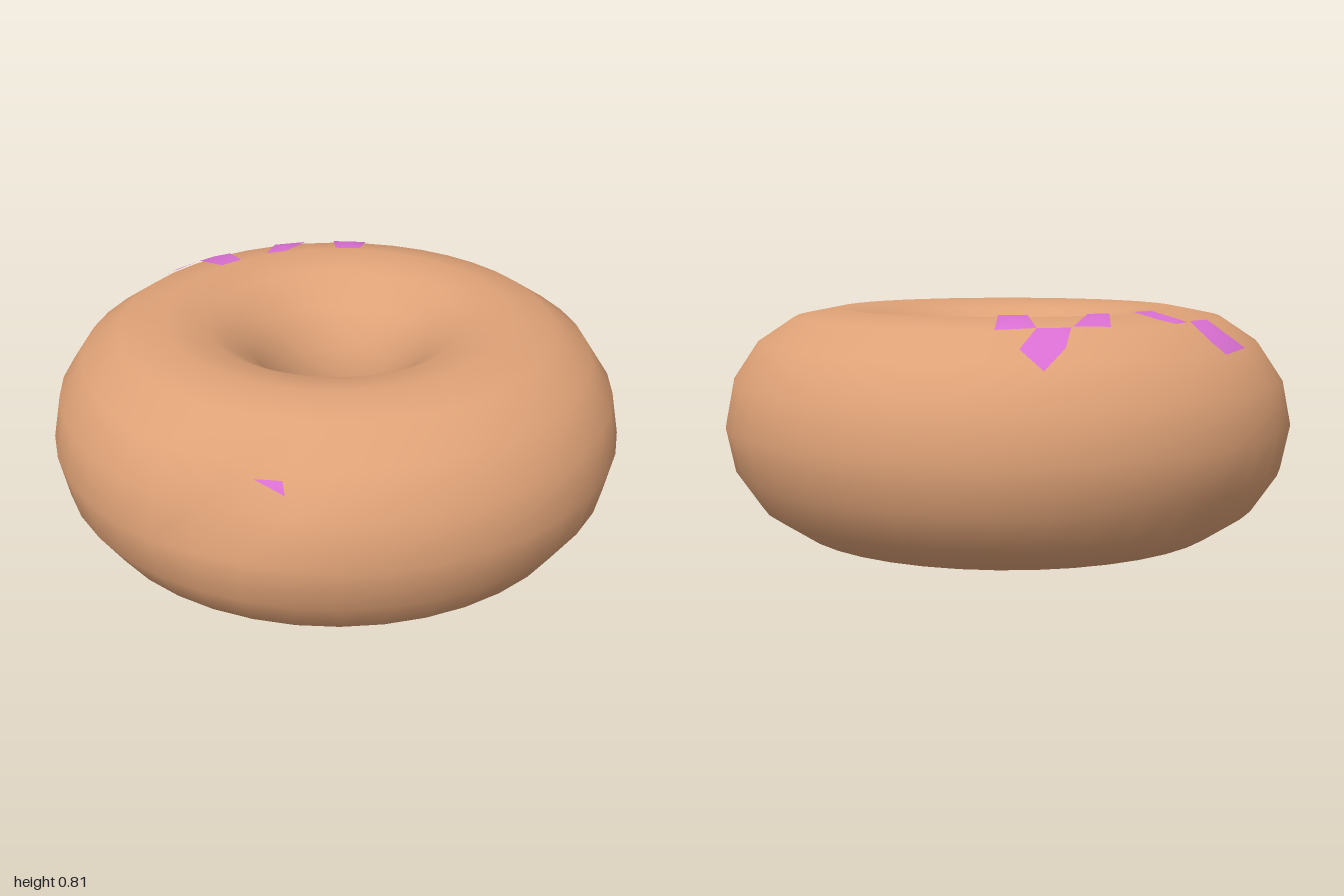
import * as THREE from 'three';
import { mergeVertices } from 'three/addons/utils/BufferGeometryUtils.js';

const RING = 0.6, TUBE = 0.4;
const BITE = new THREE.Vector3(0.39, 0.55, 0.87); // centre of the shallow dent

// Outward normal of the ring at a point
function ringNormal(p) {
  const r = Math.hypot(p.x, p.z);
  return new THREE.Vector3(p.x, 0, p.z).multiplyScalar((r - RING) / r).setY(p.y - TUBE).normalize();
}

// Push a surface point inward near the dent
function dent(p) {
  const depth = 0.07 * Math.exp(-p.distanceToSquared(BITE) / 0.022);
  return p.addScaledVector(ringNormal(p), -depth);
}

// Point on the upper surface above (x, z), lifted slightly
function onTop([x, z], lift) {
  const d = Math.hypot(x, z) - RING;
  const p = new THREE.Vector3(x, TUBE + Math.sqrt(TUBE * TUBE - d * d), z);
  const n = ringNormal(p);
  return { p: dent(p).addScaledVector(n, lift), n };
}

// Small polygon following the ring, fanned round its middle; outline counterclockwise from above
function patchGeometry(outline, lift) {
  const mid = [0, 1].map(k => outline.reduce((s, c) => s + c[k], 0) / outline.length);
  const pos = [], nor = [];
  outline.forEach((a, i) => {
    for (const c of [mid, a, outline[(i + 1) % outline.length]]) {
      const { p, n } = onTop(c, lift);
      pos.push(...p.toArray());
      nor.push(...n.toArray());
    }
  });
  const g = new THREE.BufferGeometry();
  g.setAttribute('position', new THREE.Float32BufferAttribute(pos, 3));
  g.setAttribute('normal', new THREE.Float32BufferAttribute(nor, 3));
  return g;
}

export function createModel() {
  const model = new THREE.Group();
  model.name = 'doughnut';

  // Dough ring, welded so the shading stays smooth
  let ring = new THREE.TorusGeometry(RING, TUBE, 16, 40).rotateX(Math.PI / 2).translate(0, TUBE, 0);
  ring.deleteAttribute('uv');
  ring.deleteAttribute('normal');
  ring = mergeVertices(ring, 1e-4);
  const pos = ring.attributes.position, v = new THREE.Vector3();
  for (let i = 0; i < pos.count; i++) {
    dent(v.fromBufferAttribute(pos, i));
    pos.setXYZ(i, v.x, v.y, v.z);
  }
  ring.computeVertexNormals();
  const dough = new THREE.Mesh(ring, new THREE.MeshStandardMaterial({ color: 0xdfa277 }));
  dough.name = 'doughRing';
  model.add(dough);

  // Coloured icing patches, as [x, z] outlines
  const icing = new THREE.MeshStandardMaterial({ color: 0xd96fd2 });
  const outlines = [
    [[-0.645, -0.54], [-0.6, -0.45], [-0.53, -0.53], [-0.55, -0.64], [-0.64, -0.64]],
    [[-0.67, -0.34], [-0.57, -0.2], [-0.535, -0.27], [-0.6, -0.44]],
    [[-0.53, -0.53], [-0.42, -0.43], [-0.35, -0.49], [-0.44, -0.62]],
    [[-0.75, -0.09], [-0.75, -0.02], [-0.6, 0], [-0.59, -0.09], [-0.7, -0.13]],
    [[-0.89, -0.02], [-0.87, 0.14], [-0.74, 0.12], [-0.745, 0], [-0.85, -0.04]],
    [[0.43, 0.8], [0.535, 0.765], [0.51, 0.75]],
  ];
  outlines.forEach((outline, i) => {
    const patch = new THREE.Mesh(patchGeometry(outline, 0.006), icing);
    patch.name = 'icingPatch' + (i + 1);
    model.add(patch);
  });
  return model;
}
